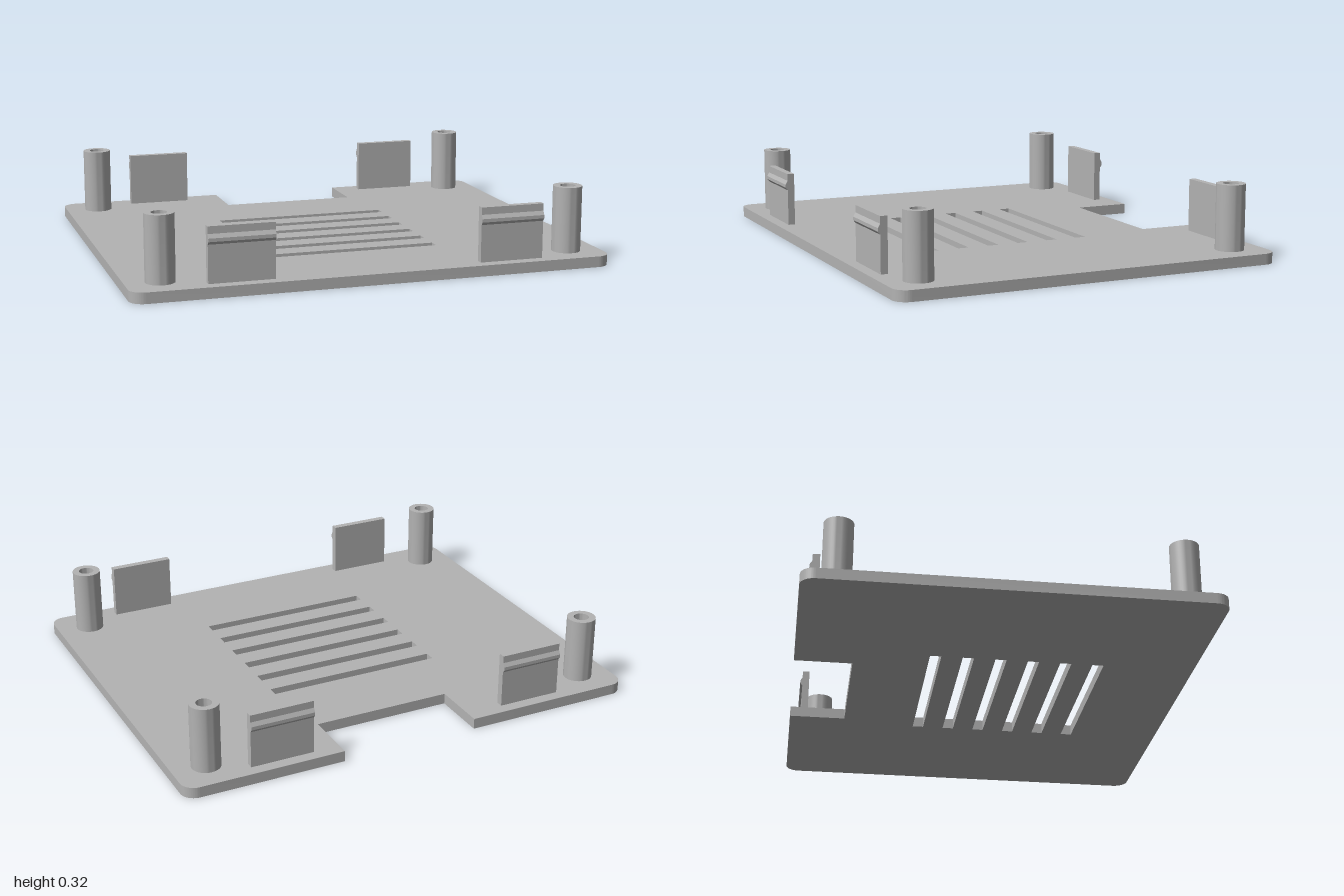
import * as THREE from 'three';
import { toCreasedNormals } from 'three/addons/utils/BufferGeometryUtils.js';

const T = 0.045; // plate thickness
const W = 1, D = 0.832, R = 0.06; // plate half sizes and corner radius

// Plate outline with a notch in the back edge and six vent slots
function plateGeometry() {
  const s = new THREE.Shape();
  s.moveTo(-W + R, -D);
  s.lineTo(W - R, -D);
  s.absarc(W - R, -D + R, R, -Math.PI / 2, 0);
  s.lineTo(W, D - R);
  s.absarc(W - R, D - R, R, 0, Math.PI / 2);
  s.lineTo(0.327, D);
  s.lineTo(0.327, 0.59);
  s.lineTo(-0.262, 0.59);
  s.lineTo(-0.262, D);
  s.lineTo(-W + R, D);
  s.absarc(-W + R, D - R, R, Math.PI / 2, Math.PI);
  s.lineTo(-W, -D + R);
  s.absarc(-W + R, -D + R, R, Math.PI, Math.PI * 1.5);
  for (let i = 0; i < 6; i++) {
    const y = 0.278 - i * 0.136;
    s.holes.push(new THREE.Path([
      new THREE.Vector2(-0.38, y),
      new THREE.Vector2(0.375, y),
      new THREE.Vector2(0.375, y - 0.047),
      new THREE.Vector2(-0.38, y - 0.047),
    ]));
  }
  const g = new THREE.ExtrudeGeometry(s, { depth: T, bevelEnabled: false, curveSegments: 12 });
  g.rotateX(-Math.PI / 2);
  return toCreasedNormals(g, 0.5);
}

// Hollow screw post, turned from its wall profile
function postGeometry() {
  const profile = [[0.06, T], [0.06, 0.32], [0.032, 0.32], [0.032, T + 0.002], [0, T + 0.002]];
  const g = new THREE.LatheGeometry(profile.map(([r, y]) => new THREE.Vector2(r, y)), 40);
  return toCreasedNormals(g, 0.5);
}

// Snap clip cross-section (outward, up) with a small catch ridge
function clipGeometry() {
  const profile = [
    [0.753, T], [0.783, T], [0.783, 0.2], [0.793, 0.212],
    [0.793, 0.226], [0.783, 0.242], [0.783, 0.272], [0.753, 0.272],
  ];
  const s = new THREE.Shape(profile.map(([a, b]) => new THREE.Vector2(a, b)));
  const g = new THREE.ExtrudeGeometry(s, { depth: 0.27, bevelEnabled: false });
  g.translate(0, 0, -0.135);
  g.rotateY(-Math.PI / 2);
  return g;
}

export function createModel() {
  const grey = new THREE.MeshStandardMaterial({ color: 0xb3b3b3 });
  grey.name = 'grey plastic';
  const model = new THREE.Group();
  model.name = 'enclosureLid';

  const add = (name, geometry) => {
    const mesh = new THREE.Mesh(geometry, grey);
    mesh.name = name;
    model.add(mesh);
    return mesh;
  };

  add('basePlate', plateGeometry());

  const post = postGeometry(), clip = clipGeometry();
  for (const [end, sz] of [['front', 1], ['back', -1]]) {
    for (const [side, sx] of [['Left', 1], ['Right', -1]]) {
      add(`${end}${side}Post`, post).position.set(sx * 0.858, 0, sz * 0.69);
      // Clips sit slightly off centre; the back pair is turned around
      const c = add(`${end}${side}Clip`, clip);
      c.position.x = 0.009 + sx * 0.564;
      c.rotation.y = sz > 0 ? 0 : Math.PI;
    }
  }
  return model;
}
